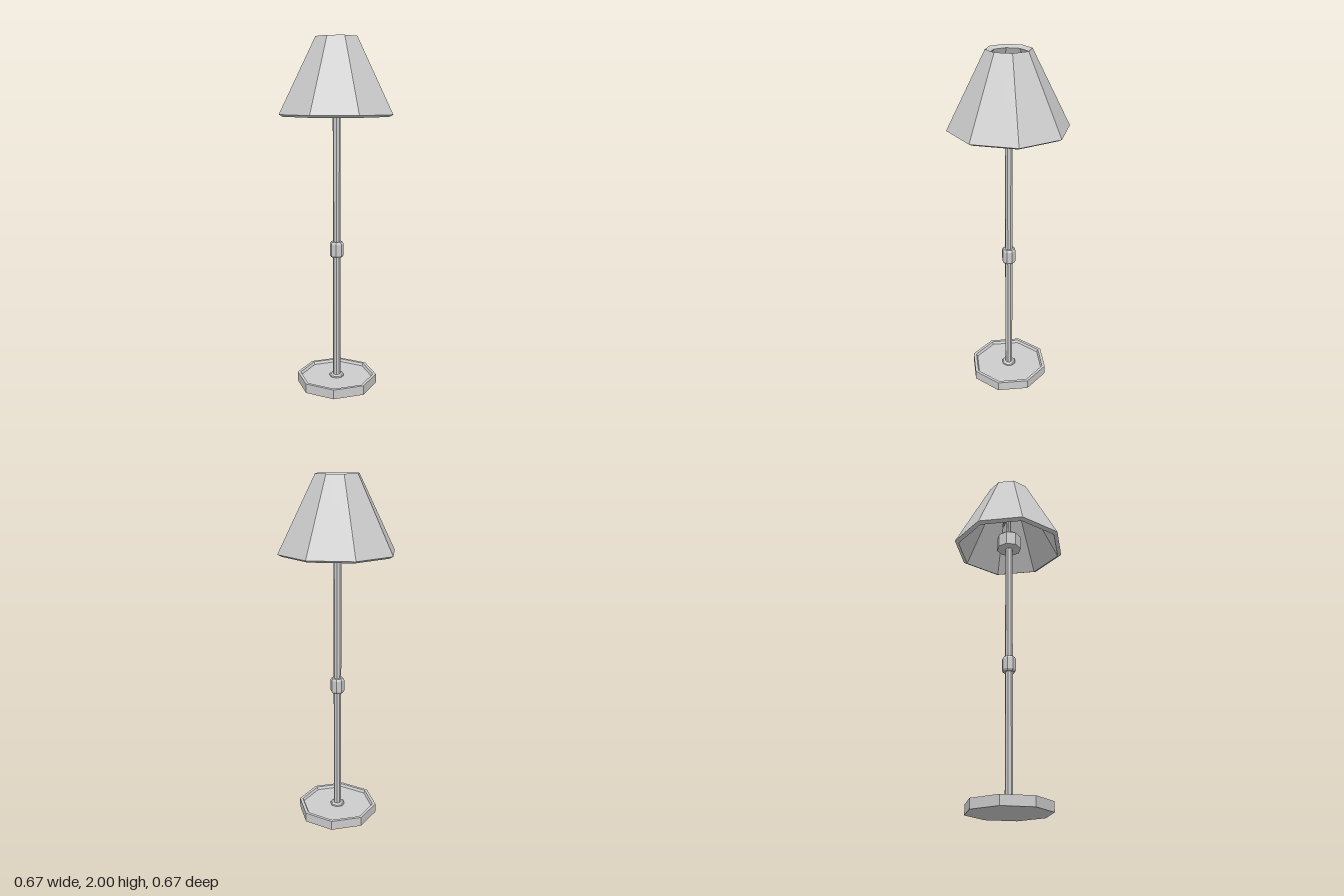
import * as THREE from 'three';

const SIDES = 8;
const TURN = THREE.MathUtils.degToRad(20.5); // twist of the base, pole and socket

export function createModel() {
  const lamp = new THREE.Group();
  lamp.name = 'floorLamp';
  const material = new THREE.MeshStandardMaterial({ color: 0xcccccc, flatShading: true });

  const add = (name, geometry) => {
    const mesh = new THREE.Mesh(geometry, material);
    mesh.name = name;
    lamp.add(mesh);
    return mesh;
  };
  // Eight-sided turned part from [radius, height] pairs, listed bottom to top on the outside
  const turned = (name, profile, turn = TURN) =>
    add(name, new THREE.LatheGeometry(profile.map(([r, y]) => new THREE.Vector2(r, y)), SIDES, turn));

  // Weighted foot with a raised rim and recessed tray
  turned('base', [[0, 0], [0.234, 0], [0.234, 0.055], [0.216, 0.055], [0.208, 0.04], [0, 0.04]]);
  turned('baseCollar', [[0.042, 0.038], [0.042, 0.049], [0.036, 0.054], [0, 0.054]]);

  // Pole with a bevelled joint
  turned('pole', [[0.022, 0.04], [0.022, 1.58]]);
  turned('poleJoint', [[0.02, 0.77], [0.033, 0.77], [0.04, 0.782], [0.04, 0.848], [0.033, 0.86], [0.02, 0.86]]);

  // Bulb socket and the stem above it
  turned('socket', [[0, 1.573], [0.073, 1.573], [0.073, 1.655], [0.057, 1.67], [0, 1.67]]);
  turned('shadeStem', [[0.014, 1.665], [0.014, 1.862], [0, 1.862]]);

  // Crossbar carrying the shade
  add('shadeBar', new THREE.BoxGeometry(0.33, 0.01, 0.009)).position.y = 1.852;

  // Thick-walled shade, open at both ends
  turned('shade', [[0.31, 1.573], [0.333, 1.585], [0.122, 2], [0.095, 1.986], [0.31, 1.573]], 0);

  return lamp;
}
